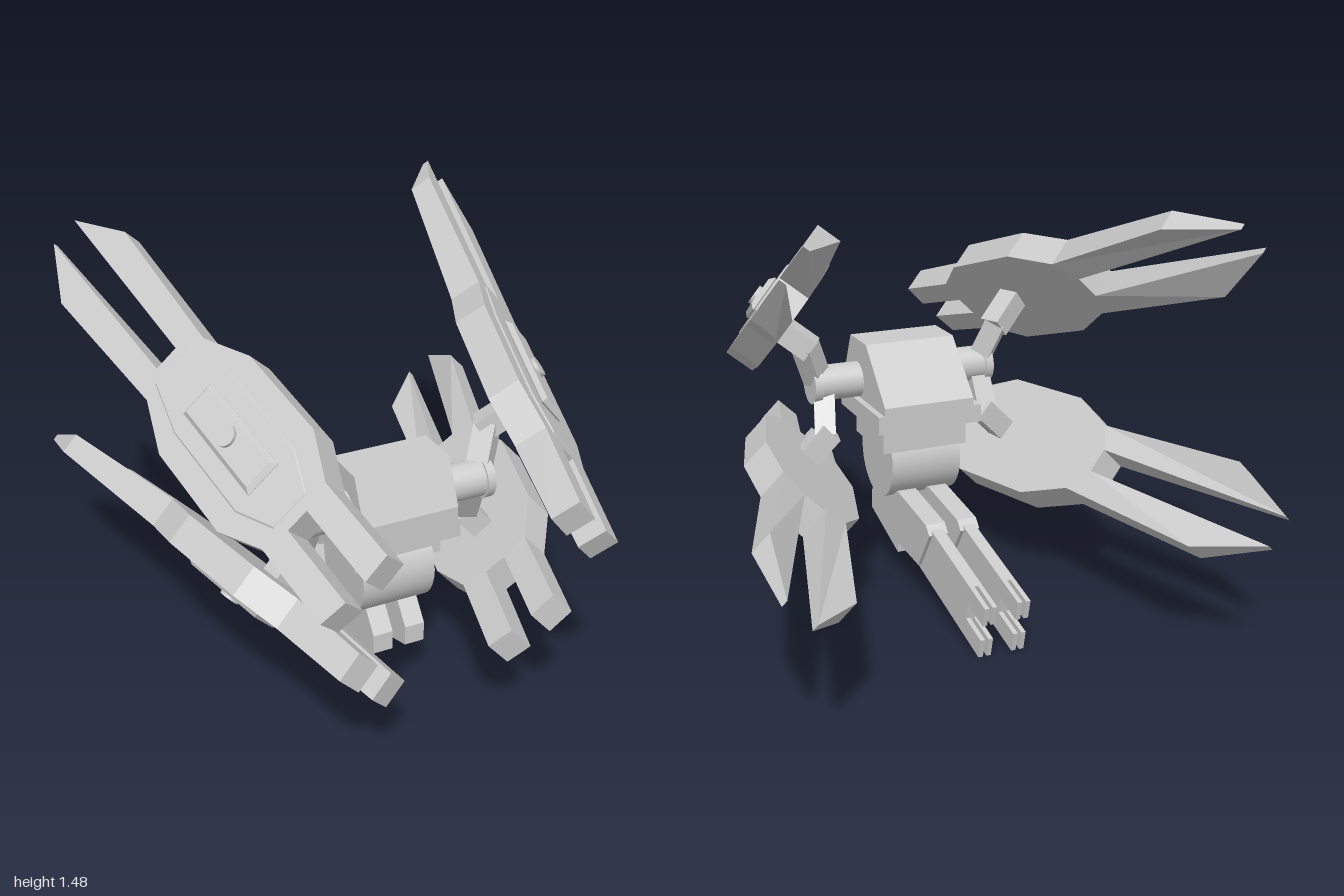
import * as THREE from 'three';

const grey = new THREE.MeshStandardMaterial({ color: 0xcccccc });
const V = (x, y, z) => new THREE.Vector3(x, y, z);

// Depth of the blade's outer and inner faces behind the pivot cap
const OUTER = -0.035, INNER = -0.148;

function add(parent, name, geometry, x = 0, y = 0, z = 0) {
  const m = new THREE.Mesh(geometry, grey);
  m.name = name;
  m.position.set(x, y, z);
  parent.add(m);
  return m;
}

const toShape = pts => new THREE.Shape(pts.map(p => new THREE.Vector2(p[0], p[1])));

// Closed outline from its right half, mirrored across the long axis
const mirrored = half => toShape([...half, ...half.map(([a, b]) => [-a, b]).reverse()]);

// Slab with optional chamfered rims that runs from depth z0 to z1
function slab(shape, z0, z1, bevel = 0) {
  const g = new THREE.ExtrudeGeometry(shape, {
    depth: z1 - z0 - 2 * bevel, bevelEnabled: bevel > 0, bevelThickness: bevel,
    bevelSize: bevel, bevelOffset: -bevel, bevelSegments: 1,
  });
  return g.translate(0, 0, z0 + bevel);
}

// Blade outline whose inner face rises towards the thin rear tips
function bladeGeometry() {
  const g = slab(mirrored([
    [0.04, -0.38], [0.04, -0.685], [0.135, -0.675], [0.135, -0.36], [0.21, -0.2], [0.21, 0.17],
    [0.135, 0.36], [0.165, 0.95], [0.055, 1.18], [0.045, 0.42],
  ]), INNER, OUTER);
  const p = g.attributes.position;
  const ramp = (s, a, b) => THREE.MathUtils.clamp((s - a) / (b - a), 0, 1);
  for (let i = 0; i < p.count; i++) {
    const s = p.getY(i);
    const thick = 1 - 0.3 * ramp(s, 0.42, 0.95) - 0.5 * ramp(s, 0.95, 1.18) - 0.12 * ramp(-s, 0.38, 0.68);
    p.setZ(i, OUTER + (p.getZ(i) - OUTER) * thick);
  }
  g.computeVertexNormals();
  return g;
}

// Side profile given as (z, y), extruded along x and centred on it
function sideProfile(pts, width) {
  const g = new THREE.ExtrudeGeometry(toShape(pts), { depth: width, bevelEnabled: false });
  return g.translate(0, 0, -width / 2).rotateY(-Math.PI / 2);
}

// Cylinder lying along x
const drumX = (r, len) => new THREE.CylinderGeometry(r, r, len, 32).rotateZ(Math.PI / 2);

// Square bar between two points
function bar(parent, name, a, b, size) {
  const m = add(parent, name, new THREE.BoxGeometry(size, size, a.distanceTo(b)));
  m.position.copy(a).add(b).multiplyScalar(0.5);
  m.lookAt(b);
}

// Binder: forked armour blade; u points to the rear tips, w across the width.
// Returns the group and its outward normal.
function binder(name, centre, u, w) {
  const g = new THREE.Group();
  g.name = name;
  u.normalize();
  w.addScaledVector(u, -w.dot(u)).normalize();
  const n = w.clone().cross(u);
  if (n.x * centre.x < 0) { w.negate(); n.negate(); }
  g.applyMatrix4(new THREE.Matrix4().makeBasis(w, u, n).setPosition(centre));

  // blade with two short front prongs and two long rear prongs
  add(g, 'blade', bladeGeometry());
  // raised centre panel, cover plate and pivot cap
  add(g, 'centrePanel', slab(mirrored([
    [0.07, -0.34], [0.13, -0.2], [0.13, 0.18], [0.08, 0.38],
  ]), -0.045, -0.03, 0.005));
  add(g, 'coverPlate', slab(mirrored([[0.065, -0.2], [0.065, 0.2]]), -0.04, -0.008, 0.015));
  add(g, 'pivotCap', new THREE.CylinderGeometry(0.036, 0.036, 0.02, 24).rotateX(Math.PI / 2), 0, 0, -0.006);
  return { group: g, normal: n };
}

export function createModel() {
  const model = new THREE.Group();
  model.name = 'binderBackpack';

  // Central block with sloped rear and front faces
  const core = new THREE.Group();
  core.name = 'core';
  core.position.x = -0.045;
  model.add(core);
  add(core, 'mainBlock', sideProfile([
    [0.085, 0.65], [0.5, 0.65], [0.5, 0.72], [0.43, 0.875], [0.27, 0.875], [0.085, 0.69],
  ], 0.34));
  add(core, 'basePlate', new THREE.BoxGeometry(0.395, 0.065, 0.395), -0.005, 0.6275, 0.285);
  add(core, 'underBlock', new THREE.BoxGeometry(0.32, 0.1, 0.28), 0, 0.555, 0.27);
  add(core, 'gunDrum', drumX(0.155, 0.265), -0.005, 0.45, 0.28);

  // Twin guns slung below the drum
  for (const side of [-1, 1]) {
    const gun = new THREE.Group();
    gun.name = side > 0 ? 'leftGun' : 'rightGun';
    gun.position.x = side * 0.06 - 0.002;
    core.add(gun);
    add(gun, 'gunHolder', sideProfile([
      [0.43, 0.25], [0.43, 0.18], [0.165, 0.1], [0.16, 0.14], [-0.03, 0.13], [-0.13, 0.28],
      [-0.1, 0.31], [0.15, 0.34], [0.36, 0.34],
    ], 0.072));
    const barrel = new THREE.Group();
    barrel.name = 'barrel';
    barrel.position.set(0, 0.218, 0);
    barrel.rotation.x = -0.224;
    gun.add(barrel);
    add(barrel, 'barrelBody', new THREE.BoxGeometry(0.045, 0.2, 0.44), 0, 0, -0.21);
    for (const x of [-1, 1]) for (const y of [-1, 1]) {
      add(barrel, 'muzzleTine', new THREE.BoxGeometry(0.016, 0.07, 0.13), x * 0.0145, y * 0.065, -0.485);
    }
  }

  // Shoulder cylinders
  add(model, 'leftShoulder', drumX(0.065, 0.2), 0.21, 0.725, 0.36);
  add(model, 'rightShoulder', drumX(0.065, 0.2), -0.295, 0.73, 0.365);
  add(model, 'leftShoulderCap', drumX(0.073, 0.03), 0.295, 0.725, 0.36);
  add(model, 'rightShoulderCap', drumX(0.073, 0.03), -0.38, 0.73, 0.365);

  // Four binders: name, pivot, long axis, width axis, shoulder joint, elbow
  const binders = [
    ['leftUpperBinder', V(0.505, 1.08, 0.345), V(0.2, 0.316, -0.926), V(-0.67, 0.73, 0.16),
      V(0.28, 0.74, 0.36), V(0.34, 0.89, 0.31)],
    ['rightUpperBinder', V(-0.61, 1.075, 0.355), V(-0.145, 0.288, -0.943), V(0.7, 0.7, 0.09),
      V(-0.36, 0.74, 0.36), V(-0.415, 0.9, 0.31)],
    ['leftLowerBinder', V(0.48, 0.385, 0.165), V(0.285, 0.075, -0.955), V(0.71, 0.7, 0.27),
      V(0.26, 0.69, 0.35), V(0.285, 0.55, 0.27)],
    ['rightLowerBinder', V(-0.56, 0.385, 0.19), V(-0.22, 0.055, -0.97), V(-0.68, 0.72, 0.19),
      V(-0.35, 0.69, 0.35), V(-0.35, 0.56, 0.28)],
  ];
  for (const [name, centre, u, w, shoulder, elbow] of binders) {
    const { group, normal } = binder(name, centre, u, w);
    model.add(group);
    const arm = new THREE.Group();
    arm.name = name.replace('Binder', 'Arm');
    model.add(arm);
    bar(arm, 'innerArm', shoulder, elbow, 0.075);
    // the outer arm meets the blade's inner face squarely
    const gap = INNER + 0.01 - elbow.clone().sub(centre).dot(normal);
    bar(arm, 'outerArm', elbow.clone().addScaledVector(normal, -0.03),
      elbow.clone().addScaledVector(normal, gap), 0.08);
  }
  return model;
}
